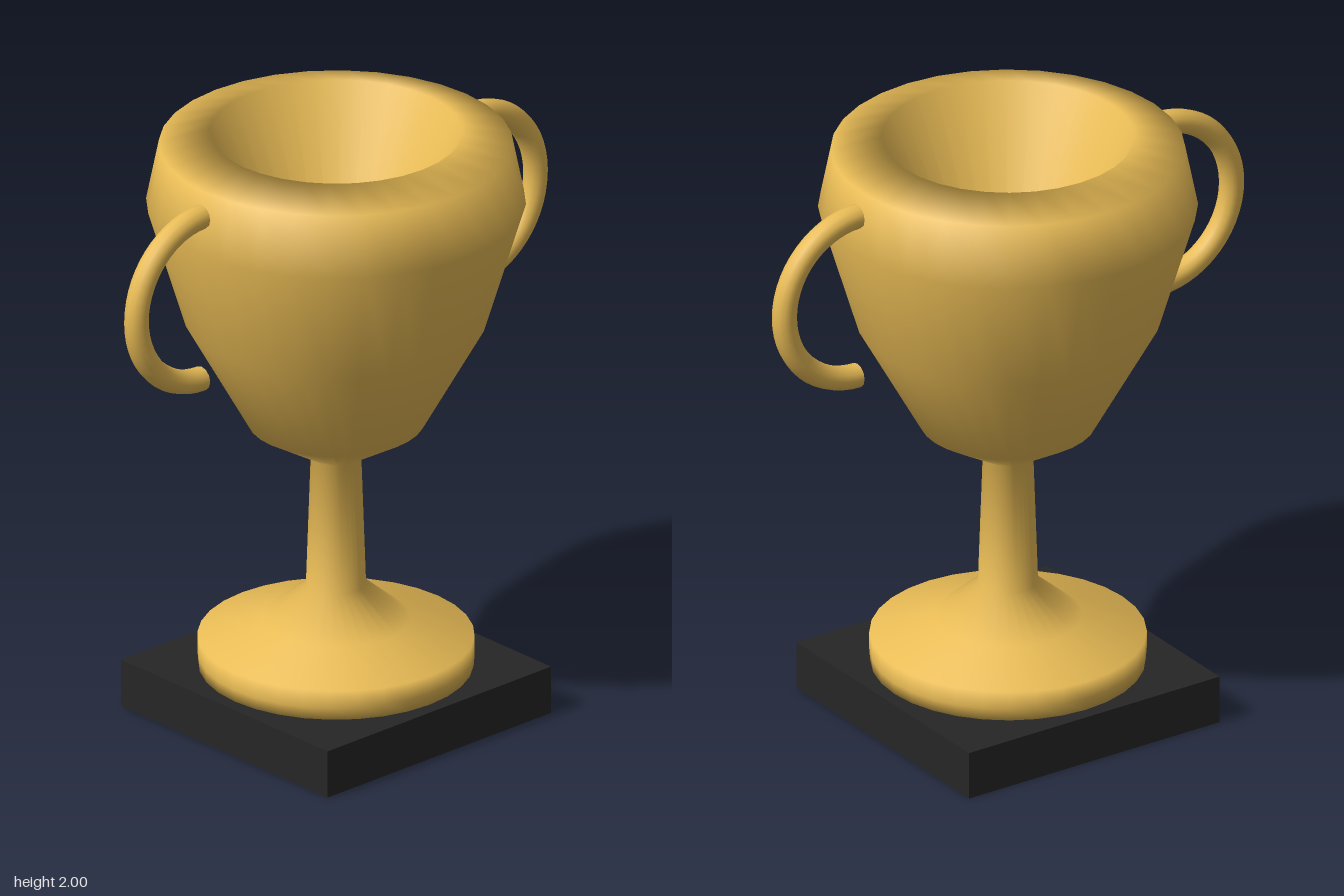
import * as THREE from 'three';

export function createModel() {
  const model = new THREE.Group();
  const gold = new THREE.MeshStandardMaterial({ color: 0xe8bb55, side: THREE.DoubleSide });
  const black = new THREE.MeshStandardMaterial({ color: 0x262626 });

  const add = (name, geometry, material) => {
    const mesh = new THREE.Mesh(geometry, material);
    mesh.name = name;
    model.add(mesh);
    return mesh;
  };

  // Square plinth
  add('plinth', new THREE.BoxGeometry(0.96, 0.16, 0.96), black).position.y = 0.08;

  // Foot, stem, bowl, rim and tapered hollow turned as one profile
  const profile = [
    [0, 0.16], [0.435, 0.16], [0.438, 0.2], [0.438, 0.26], [0.235, 0.32],
    [0.095, 0.44], [0.08, 0.88], [0.28, 1.0], [0.48, 1.36],
    [0.6, 1.76], [0.56, 1.96], [0.4, 2.0], [0, 1.1],
  ].map(([r, y]) => new THREE.Vector2(r, y));
  add('cup', new THREE.LatheGeometry(profile, 32), gold);

  // Half-ring handles, open at the ends
  for (const side of [1, -1]) {
    const ring = new THREE.TorusGeometry(0.28, 0.04, 12, 28, Math.PI);
    ring.rotateZ(-side * Math.PI / 2);
    const handle = add(side > 0 ? 'leftHandle' : 'rightHandle', ring, gold);
    handle.position.set(side * 0.577, 1.603, 0);
  }

  return model;
}
